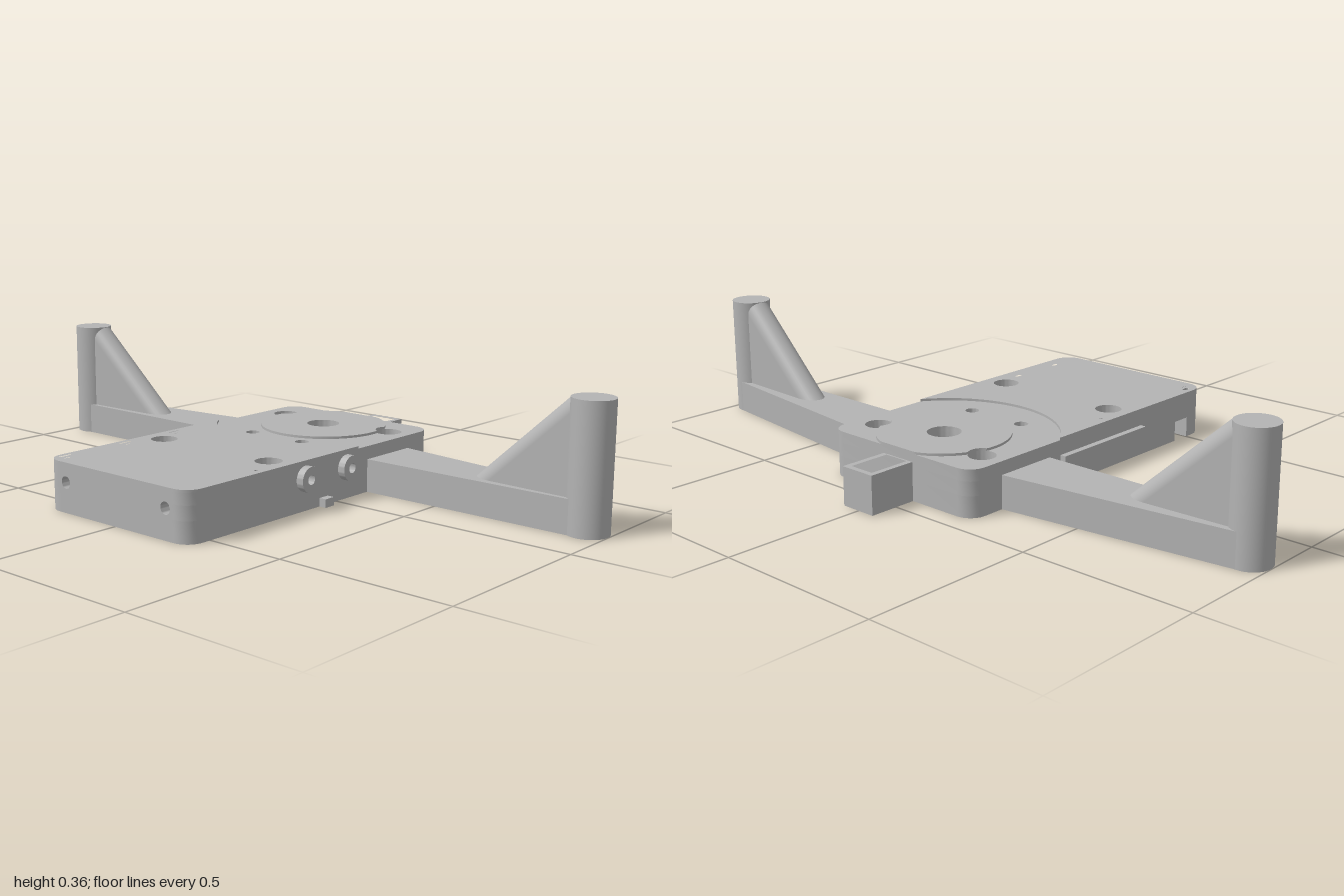
import * as THREE from 'three';
import { toCreasedNormals } from 'three/addons/utils/BufferGeometryUtils.js';

export function createModel() {
  const model = new THREE.Group();
  const grey = new THREE.MeshStandardMaterial({ color: 0xb3b3b3 });
  grey.name = 'plain grey';

  const add = (name, geo, parent = model) => {
    const mesh = new THREE.Mesh(geo, grey);
    mesh.name = name;
    parent.add(mesh);
    return mesh;
  };
  const box = (name, x0, x1, y0, y1, z0, z1) => {
    const geo = new THREE.BoxGeometry(x1 - x0, y1 - y0, z1 - z0);
    add(name, geo).position.set((x0 + x1) / 2, (y0 + y1) / 2, (z0 + z1) / 2);
  };
  const extrude = (shape, depth) => toCreasedNormals(
    new THREE.ExtrudeGeometry(shape, { depth, bevelEnabled: false, curveSegments: 20 }), 0.6);

  // Plan shapes are drawn with y = -z, then raised from y0 to y1
  const poly = (pts) => new THREE.Shape(pts.map(([x, z]) => new THREE.Vector2(x, -z)));
  const circle = (x, z, r) => new THREE.Path().absarc(x, -z, r, 0, Math.PI * 2);
  const rect = (x, z, w, d) => poly([
    [x - w / 2, z - d / 2], [x + w / 2, z - d / 2], [x + w / 2, z + d / 2], [x - w / 2, z + d / 2]]);
  const slab = (name, shape, holes, y0, y1) => {
    shape.holes = holes;
    const geo = extrude(shape, y1 - y0);
    geo.rotateX(-Math.PI / 2).translate(0, y0, 0);
    return add(name, geo);
  };
  const arc = (cx, cz, r, a0, a1, n) => Array.from({ length: n + 1 }, (_, i) => {
    const a = a0 + (a1 - a0) * i / n;
    return [cx + r * Math.cos(a), cz + r * Math.sin(a)];
  });

  // Body outline, with room for the front plate and an optional side notch
  const W = 0.27, BACK = -0.44, FRONT = 0.58, R = 0.05, Q = Math.PI / 2;
  const CZ = -0.265;
  const frontEdge = [
    ...arc(W - R, FRONT - R, R, 0, Q, 6),
    [0.215, FRONT], [0.215, 0.55], [-0.215, 0.55], [-0.215, FRONT],
    ...arc(-W + R, FRONT - R, R, Q, 2 * Q, 6)];
  const backEdge = [
    ...arc(-W + R, BACK + R, R, 2 * Q, 3 * Q, 6),
    ...arc(W - R, BACK + R, R, 3 * Q, 4 * Q, 6)];
  const notch = [[-W, 0.5], [0.15, 0.5], [0.15, 0.44], [-W, 0.44]];
  const outline = (notched) => poly([...frontEdge, ...(notched ? notch : []), ...backEdge]);

  // Holes that pass through the body
  const frontSlots = () => [[-0.24, 0.12], [-0.24, 0.31], [-0.24, 0.53], [0.235, 0.3], [0.235, 0.475]]
    .map(([x, z]) => rect(x, z, 0.026, 0.04));
  const screws = (z, r) => [circle(-0.2, z, r), circle(0.2, z, r)];
  const through = (r) => [
    ...frontSlots(), rect(-0.24, -0.065, 0.026, 0.04),
    ...screws(-0.325, r), ...screws(0.205, r),
    circle(0, CZ, 0.048), circle(-0.095, -0.055, 0.02), circle(0.095, -0.055, 0.02)];
  const pocket = () => poly([
    [-0.07, -0.19], [0.07, -0.19], [0.07, 0.08], [0.1, 0.08],
    [0.1, 0.41], [-0.1, 0.41], [-0.1, 0.08], [-0.07, 0.08]]);

  slab('bodyBase', outline(true), [...through(0.022), pocket()], 0, 0.06);
  slab('bodyMiddle', outline(false), [...through(0.022), pocket()], 0.06, 0.1);
  slab('bodyTop', outline(false), through(0.038), 0.1, 0.133);

  // Raised top panel, ending in an arc around the turntable
  const half = Math.asin(W / 0.32);
  slab('topPanel', poly([...frontEdge, ...arc(0, CZ, 0.32, Q + half, Q - half, 32)]),
    [...frontSlots(), ...screws(0.205, 0.038)], 0.133, 0.14);

  // Turntable disc, trimmed at the back edge and around the two rear screws
  const rim = [];
  const screwDist = Math.hypot(0.2, 0.06);
  for (let i = 0; i < 180; i++) {
    const a = i * Math.PI / 90;
    let r = 0.187;
    if (Math.sin(a) < 0) r = Math.min(r, (CZ - BACK) / -Math.sin(a));
    for (const sx of [-0.2, 0.2]) {
      const t = a - Math.atan2(-0.06, sx);
      const inside = 0.038 ** 2 - (screwDist * Math.sin(t)) ** 2;
      if (inside > 0 && Math.cos(t) > 0) r = Math.min(r, screwDist * Math.cos(t) - Math.sqrt(inside));
    }
    rim.push([r * Math.cos(a), CZ + r * Math.sin(a)]);
  }
  slab('turntable', poly(rim), [circle(0, CZ, 0.048)], 0.133, 0.14);

  // Front plate with two round holes
  const plate = new THREE.Shape([[-0.215, 0], [0.215, 0], [0.215, 0.14], [-0.215, 0.14]]
    .map((p) => new THREE.Vector2(...p)));
  plate.holes = [-0.19, 0.19].map((x) => new THREE.Path().absarc(x, 0.085, 0.017, 0, Math.PI * 2));
  add('frontPlate', extrude(plate, 0.03)).position.z = 0.55;

  // Rounded trough in the underside pocket
  const trough = new THREE.Shape();
  trough.moveTo(-0.1, 0).lineTo(-0.1, 0.1).lineTo(0.1, 0.1).lineTo(0.1, 0).lineTo(0.09, 0);
  trough.absarc(0, 0, 0.09, 0, Math.PI, false);
  add('batteryTrough', extrude(trough, 0.33)).position.z = 0.08;

  // Rear socket with a stepped opening
  slab('rearSocketBase', rect(0, -0.51, 0.11, 0.15), [rect(0, -0.505, 0.05, 0.1)], 0, 0.04);
  slab('rearSocket', rect(0, -0.51, 0.11, 0.15), [rect(0, -0.507, 0.078, 0.124)], 0.04, 0.11);

  // Sockets, tab and rail on the sides
  for (const z of [0.135, -0.04]) {
    const ring = new THREE.Shape().absarc(0, 0, 0.036, 0, Math.PI * 2);
    ring.holes = [new THREE.Path().absarc(0, 0, 0.014, 0, Math.PI * 2)];
    const knob = add('sideSocket', extrude(ring, 0.025));
    knob.rotation.y = Q;
    knob.position.set(0.267, 0.09, z);
  }
  box('sideTab', 0.26, 0.292, 0, 0.024, 0.04, 0.075);
  box('sideRail', -0.288, -0.26, 0.064, 0.09, -0.09, 0.27);

  // Arms, posts and braces, mirrored
  for (const s of [-1, 1]) {
    const side = s > 0 ? 'left' : 'right';
    slab(side + 'Arm', poly([
      [s * 0.26, -0.135], [s * 0.94, -0.135], [s * 0.95, -0.24], [s * 0.26, -0.326]]), [], 0, 0.095);
    add(side + 'Post', new THREE.CylinderGeometry(0.058, 0.058, 0.355, 40))
      .position.set(s * 0.942, 0.1775, -0.184);

    const brace = new THREE.Group();
    brace.name = side + 'Brace';
    brace.position.set(s * 0.942, 0, -0.186);
    brace.rotation.y = s * -0.04;
    model.add(brace);
    const low = new THREE.Vector3(s * -0.355, 0.029, 0);
    const high = new THREE.Vector3(s * -0.03, 0.325, 0);
    const web = new THREE.Shape([
      new THREE.Vector2(low.x, low.y), new THREE.Vector2(high.x, high.y),
      new THREE.Vector2(high.x, 0.029)]);
    add('braceWeb', extrude(web, 0.08), brace).position.z = -0.04;
    const along = high.clone().sub(low);
    const bar = add('braceBar', new THREE.CylinderGeometry(0.04, 0.04, along.length(), 32), brace);
    bar.position.copy(low).add(high).multiplyScalar(0.5);
    bar.quaternion.setFromUnitVectors(new THREE.Vector3(0, 1, 0), along.normalize());
  }

  return model;
}
